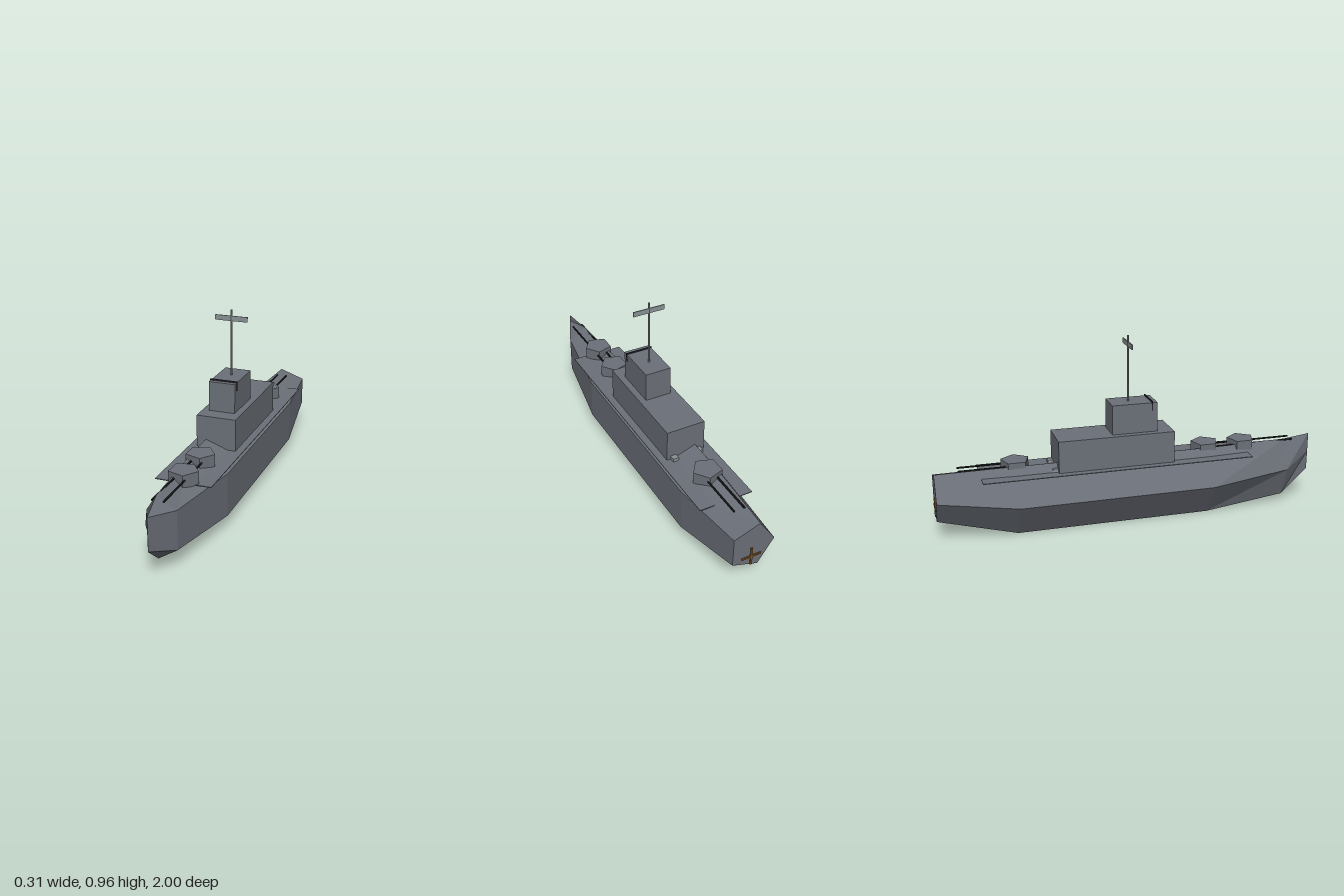
import * as THREE from 'three';

const CX = 0.0136; // centre line of the ship

const material = (name, color, extra = {}) =>
  Object.assign(new THREE.MeshStandardMaterial({ color, flatShading: true, ...extra }), { name });

// Five-sided hull lofted through stations [z, centreY, radiusX, radiusY]
function hullGeometry(stations) {
  const n = 5, pos = [];
  const point = ([z, cy, rx, ry], j) => {
    const a = Math.PI + (j * 2 * Math.PI) / n;
    return [CX + rx * Math.cos(a), cy + ry * Math.sin(a), z];
  };
  const tri = (a, b, c) => pos.push(...a, ...b, ...c);
  const first = stations[0], last = stations[stations.length - 1];
  for (let j = 0; j < n; j++) {
    for (let i = 0; i < stations.length - 1; i++) {
      const a = point(stations[i], j), b = point(stations[i], j + 1);
      const c = point(stations[i + 1], j), d = point(stations[i + 1], j + 1);
      tri(a, b, c);
      tri(b, d, c);
    }
    tri([CX, first[1], first[0]], point(first, j + 1), point(first, j));
    tri([CX, last[1], last[0]], point(last, j), point(last, j + 1));
  }
  const g = new THREE.BufferGeometry();
  g.setAttribute('position', new THREE.Float32BufferAttribute(pos, 3));
  g.computeVertexNormals();
  return g;
}

export function createModel() {
  const ship = new THREE.Group();
  ship.name = 'warship';
  const grey = material('hull grey', 0x6b7078);
  const pale = material('mast grey', 0x8a9294);
  const dark = material('window dark', 0x24272b);
  const black = material('gun black', 0x1c1d1f);
  const bronze = material('propeller bronze', 0x7a5220);

  const add = (name, geometry, mat, x, y, z, parent = ship) => {
    const m = new THREE.Mesh(geometry, mat);
    m.name = name;
    m.position.set(x, y, z);
    parent.add(m);
    return m;
  };
  // Box from width, y range and z range, centred on the ship's centre line
  const block = (name, mat, w, y0, y1, z0, z1, dx = 0) =>
    add(name, new THREE.BoxGeometry(w, y1 - y0, z1 - z0), mat, CX + dx, (y0 + y1) / 2, (z0 + z1) / 2);

  // Hull, stern to bow
  add('hull', hullGeometry([
    [-0.995, 0.2275, 0.119, 0.129],
    [-0.6, 0.18, 0.169, 0.187],
    [0.405, 0.18, 0.169, 0.187],
    [0.845, 0.2, 0.084, 0.165],
    [1.0, 0.264, 0.001, 0.106],
  ]), grey, 0, 0, 0);

  // Deck and superstructure
  block('deck', grey, 0.277, 0.313, 0.317, -0.772, 0.62);
  block('superstructure', grey, 0.203, 0.315, 0.48, -0.393, 0.204);
  block('bridgeTower', grey, 0.136, 0.48, 0.631, -0.112, 0.122);
  block('bridgeWindow', dark, 0.142, 0.59, 0.638, 0.093, 0.098);
  for (const s of [-1, 1])
    block('deckLocker', pale, 0.03, 0.315, 0.335, -0.42, -0.39, s * 0.067);

  // Mast and aerial
  add('mast', new THREE.CylinderGeometry(0.005, 0.005, 0.336, 8), pale, CX, 0.798, -0.013);
  block('aerial', pale, 0.168, 0.91, 0.936, -0.0155, -0.0105);

  // Twin-gun turrets: z position and firing direction
  for (const [z, dir] of [[0.605, 1], [0.403, 1], [-0.594, -1]]) {
    const turret = new THREE.Group();
    turret.name = 'turret';
    turret.position.set(CX, 0, z);
    ship.add(turret);
    add('gunHouse', new THREE.CylinderGeometry(0.073, 0.073, 0.065, 5), grey, 0, 0.3455, 0, turret)
      .rotation.y = Math.PI / 2;
    for (const s of [-1, 1])
      add('gunBarrel', new THREE.CylinderGeometry(0.005, 0.005, 0.26, 6), black, s * 0.027, 0.351, dir * 0.155, turret)
        .rotation.x = Math.PI / 2;
  }

  // Propeller on the transom
  for (const turn of [0, Math.PI / 2])
    add('propellerBlade', new THREE.BoxGeometry(0.1, 0.01, 0.008), bronze, CX, 0.168, -0.996)
      .rotation.z = turn;

  return ship;
}
